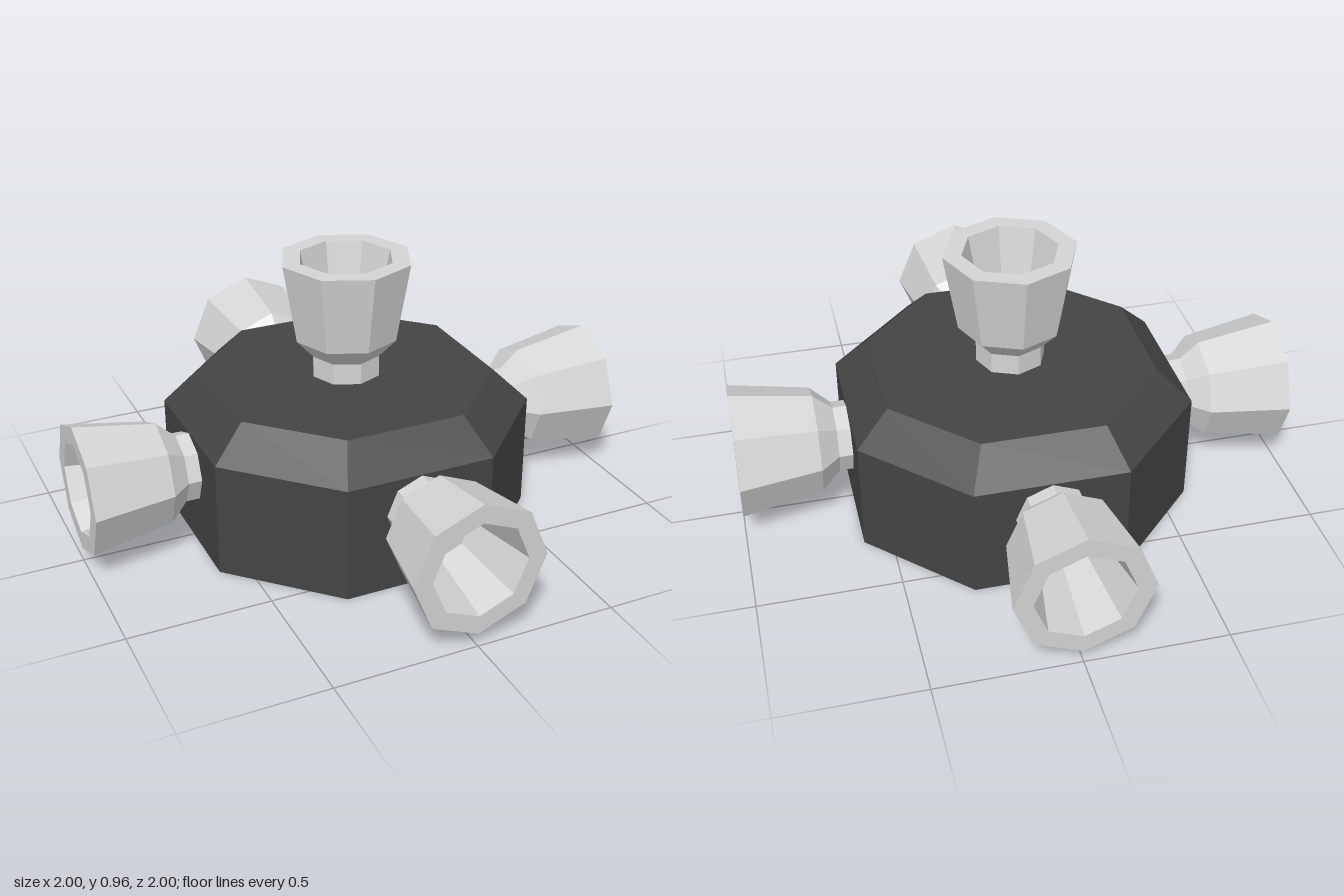
import * as THREE from 'three';

const darkGrey = new THREE.MeshStandardMaterial({ color: 0x444444, flatShading: true });
darkGrey.name = 'dark grey';
const lightGrey = new THREE.MeshStandardMaterial({ color: 0xd4d4d4, flatShading: true });
lightGrey.name = 'light grey';

// Eight-sided faceted solid from a profile of [radius, height] points
function octagonLathe(profile, phiStart = 0) {
  const points = profile.map(([r, y]) => new THREE.Vector2(r, y));
  return new THREE.LatheGeometry(points, 8, phiStart);
}

function faceted(geometry) {
  const flat = geometry.toNonIndexed();
  flat.computeVertexNormals();
  return flat;
}

// Octagonal block with a bevelled top; its axis-facing sides are slightly wider
function createBody() {
  const c = Math.cos(Math.PI / 8);
  const R = 0.597 / c, r = 0.48 / c;
  const geometry = octagonLathe([[0, 0], [R, 0], [R, 0.412], [r, 0.53], [0, 0.53]], Math.PI / 8);
  const p = geometry.attributes.position;
  for (let i = 0; i < p.count; i++) {
    const x = p.getX(i), z = p.getZ(i);
    if (Math.abs(x) < Math.abs(z)) p.setX(i, x * 1.08);
    else p.setZ(i, z * 1.08);
  }
  const body = new THREE.Mesh(faceted(geometry), darkGrey);
  body.name = 'body';
  return body;
}

// Hollow nozzle along +y, with its throat at y = 0 and its rim at y = 0.355
function createNozzleGeometry() {
  return faceted(octagonLathe([
    [0.125, -0.1], [0.125, 0], [0.187, 0.068], [0.236, 0.355], // neck and bell
    [0.17, 0.355], [0.115, 0.085], [0, 0.085],                 // rim, bore and floor
  ]));
}

export function createModel() {
  const model = new THREE.Group();
  model.name = 'thrusterBlock';
  model.add(createBody());

  const geometry = createNozzleGeometry();
  const up = new THREE.Vector3(0, 1, 0);
  const nozzles = {
    topNozzle: [0, 1, 0],
    leftNozzle: [1, 0, 0],
    rightNozzle: [-1, 0, 0],
    frontNozzle: [0, 0, 1],
    backNozzle: [0, 0, -1],
  };
  for (const [name, axis] of Object.entries(nozzles)) {
    const direction = new THREE.Vector3(...axis);
    const nozzle = new THREE.Mesh(geometry, lightGrey);
    nozzle.name = name;
    nozzle.quaternion.setFromUnitVectors(up, direction);
    nozzle.position.copy(direction).multiplyScalar(0.645);
    nozzle.position.y = axis[1] ? 0.607 : 0.284;
    model.add(nozzle);
  }
  return model;
}
